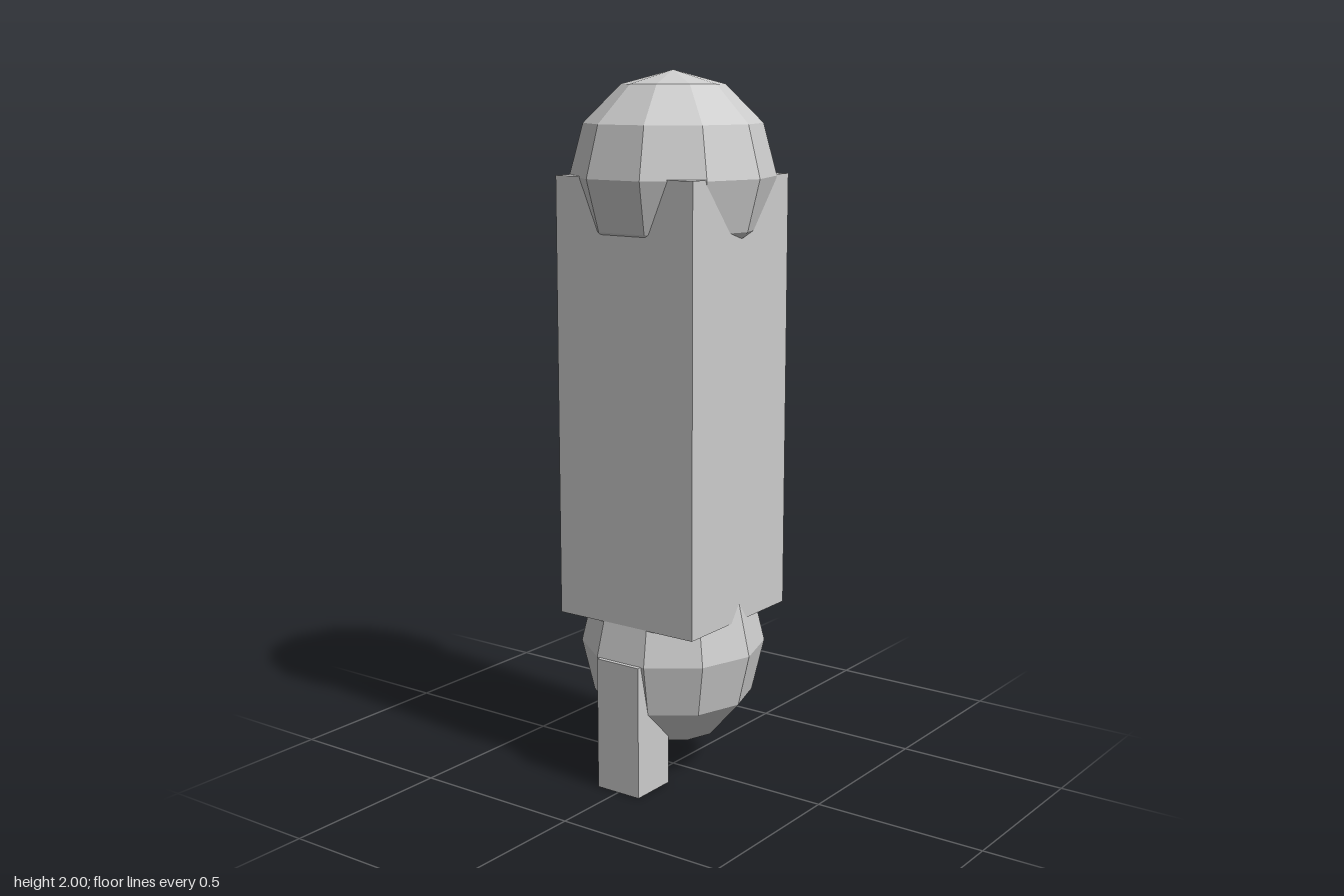
import * as THREE from 'three';

export function createModel() {
  const model = new THREE.Group();
  const grey = new THREE.MeshStandardMaterial({ color: 0xcccccc, flatShading: true });
  grey.name = 'light grey';

  const add = (name, geometry, x, y, z) => {
    const mesh = new THREE.Mesh(geometry, grey);
    mesh.name = name;
    mesh.position.set(x, y, z);
    model.add(mesh);
    return mesh;
  };

  // Faceted ball sunk into the top of the square shaft
  add('topBall', new THREE.SphereGeometry(0.285, 10, 6), 0, 1.715, 0);

  // Square shaft
  add('shaft', new THREE.BoxGeometry(0.457, 1.237, 0.457), 0, 1.1, 0);

  // Slightly stretched faceted ball below
  add('bottomBall', new THREE.SphereGeometry(0.264, 10, 6), 0, 0.382, 0).scale.y = 0.3 / 0.264;

  // Small upright post at the front
  add('frontPost', new THREE.BoxGeometry(0.143, 0.382, 0.143), 0, 0.191, 0.192);

  return model;
}
